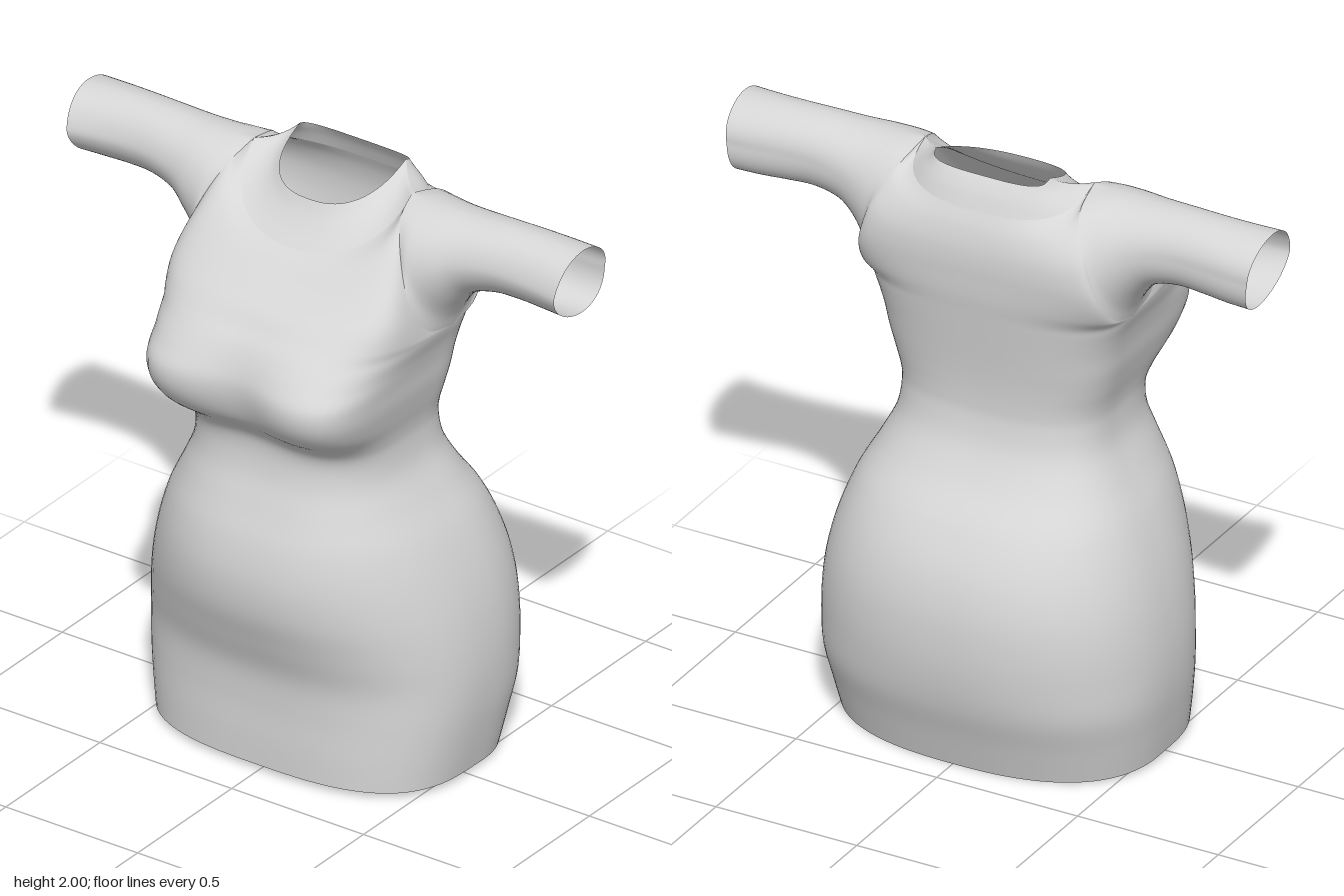
import * as THREE from 'three';
import { mergeVertices, mergeGeometries } from 'three/addons/utils/BufferGeometryUtils.js';

const COLS = 48, SUB = 5;

// Catmull-Rom through rows of numbers, SUB steps per span
function spline(rows) {
  const out = [], last = rows.length - 1;
  for (let i = 0; i < last; i++) {
    const [a, b, c, d] = [rows[Math.max(i - 1, 0)], rows[i], rows[i + 1], rows[Math.min(i + 2, last)]];
    for (let k = 0; k < SUB; k++) {
      const t = k / SUB;
      out.push(b.map((_, j) => b[j] + 0.5 * t * (c[j] - a[j]
        + t * (2 * a[j] - 5 * b[j] + 4 * c[j] - d[j] + t * (3 * (b[j] - c[j]) + d[j] - a[j])))));
    }
  }
  out.push(rows[last]);
  return out;
}

// Surface through a grid of points
function grid(rows, flip) {
  const n = rows[0].length, index = [];
  for (let r = 0; r < rows.length - 1; r++) {
    for (let c = 0; c < n - 1; c++) {
      const a = r * n + c, b = a + 1, d = a + n, e = d + 1;
      if (flip) index.push(a, d, b, b, d, e);
      else index.push(a, b, d, b, e, d);
    }
  }
  const g = new THREE.BufferGeometry();
  g.setAttribute('position', new THREE.Float32BufferAttribute(rows.flat(2), 3));
  g.setIndex(index);
  return g;
}

function smooth(geometries) {
  const g = mergeVertices(mergeGeometries(geometries), 1e-4);
  g.computeVertexNormals();
  return g;
}

// Half cross-section; row = [edge x, edge y, edge z, middle y, middle z, squareness, centre dip]
function halfRing([x, ey, ez, my, mz, n, dip], back) {
  const pts = [];
  for (let i = 0; i <= COLS; i++) {
    const u = Math.PI * (back ? 1 + i / COLS : i / COLS);
    const c = Math.cos(u), s = Math.abs(Math.sin(u));
    const r = Math.pow(Math.abs(c) ** n + s ** n, 1 / n);
    const px = x * c / r, w = s / r;
    pts.push([px, ey + (my - ey) * w, ez + (mz - ez) * w - dip * Math.exp(-((px / 0.14) ** 2))]);
  }
  return pts;
}

function shell(front, back) {
  return smooth([
    grid(front.map(r => halfRing(r, false)), true),
    grid(back.map(r => halfRing(r, true)), true),
  ]);
}

export function createModel() {
  const group = new THREE.Group();
  const cloth = new THREE.MeshStandardMaterial({ color: 0xd6d6d6, side: THREE.DoubleSide });
  cloth.name = 'light grey cloth';
  const add = (name, geometry) => {
    const mesh = new THREE.Mesh(geometry, cloth);
    mesh.name = name;
    group.add(mesh);
  };

  // Skirt, waist and bust: y, half width, side z, front z, squareness, dip, back z, squareness
  const lower = [
    [0.02, 0.545, -0.03, 0.36, 2.9, 0, -0.40, 2.5],
    [0.12, 0.563, -0.04, 0.362, 2.8, 0, -0.44, 2.5],
    [0.24, 0.58, -0.05, 0.362, 2.7, 0, -0.483, 2.5],
    [0.36, 0.585, -0.05, 0.373, 2.55, 0, -0.508, 2.4],
    [0.48, 0.577, -0.05, 0.415, 2.4, 0, -0.516, 2.4],
    [0.60, 0.557, -0.05, 0.455, 2.3, 0, -0.508, 2.4],
    [0.72, 0.523, -0.05, 0.465, 2.35, 0, -0.475, 2.4],
    [0.84, 0.475, -0.04, 0.445, 2.5, 0, -0.41, 2.5],
    [0.95, 0.415, -0.03, 0.405, 2.75, 0, -0.325, 2.6],
    [1.05, 0.368, -0.02, 0.37, 3.0, 0, -0.267, 2.7],
    [1.14, 0.355, -0.01, 0.36, 3.3, 0, -0.243, 2.8],
    [1.20, 0.36, -0.01, 0.388, 4.0, 0.01, -0.24, 2.8],
    [1.27, 0.378, -0.02, 0.472, 5.0, 0.03, -0.244, 2.8],
    [1.34, 0.395, -0.03, 0.517, 5.4, 0.045, -0.252, 2.8],
    [1.41, 0.406, -0.04, 0.525, 5.2, 0.045, -0.262, 2.8],
    [1.47, 0.42, -0.05, 0.495, 4.2, 0.03, -0.271, 2.8],
  ];
  // Chest panel, its sides following the front of the armhole
  const chest = [
    [0.44, 1.53, -0.05, 1.53, 0.45, 3.5, 0.015],
    [0.44, 1.56, 0.06, 1.575, 0.405, 3.3, 0.008],
    [0.43, 1.64, 0.13, 1.62, 0.36, 3.1, 0],
    [0.405, 1.73, 0.145, 1.66, 0.315, 2.9, 0],
    [0.36, 1.84, 0.11, 1.70, 0.27, 2.7, 0],
    [0.32, 1.92, 0.05, 1.74, 0.225, 2.4, 0],
    [0.30, 1.96, -0.04, 1.77, 0.185, 2.2, 0],
  ];
  // Upper back panel, its sides following the back of the armhole
  const upperBack = [
    [0.44, 1.53, -0.05, 1.53, -0.28, 2.8, 0],
    [0.44, 1.56, -0.15, 1.59, -0.289, 2.8, 0],
    [0.43, 1.64, -0.22, 1.65, -0.294, 2.8, 0],
    [0.405, 1.73, -0.25, 1.71, -0.297, 2.8, 0],
    [0.37, 1.83, -0.24, 1.77, -0.293, 2.8, 0],
    [0.32, 1.92, -0.17, 1.83, -0.278, 2.8, 0],
    [0.30, 1.96, -0.04, 1.88, -0.255, 2.8, 0],
  ];
  const front = spline([
    ...lower.map(([y, x, ez, zf, nf, dip]) => [x, y, ez, y, zf, nf, dip]), ...chest]);
  // The hem drops to the floor at the back
  const back = spline([
    ...lower.map(([y, x, ez, , , , zb, nb], i) => [x, y, ez, i ? y : 0, zb, nb, 0]), ...upperBack]);

  // Close the side seams below the armholes
  const hole = lower.length * SUB;
  for (let i = 0; i <= hole; i++) {
    for (let j = 0; j < 3; j++) front[i][j] = back[i][j] = (front[i][j] + back[i][j]) / 2;
  }
  add('dressBody', shell(front, back));

  // Yoke from the shoulder seam up to the neckline
  const yokeFront = spline([
    chest[6],
    [0.262, 1.962, -0.075, 1.815, 0.145, 2.3, 0],
    [0.225, 1.977, -0.115, 1.862, 0.11, 2.4, 0],
    [0.2, 1.998, -0.145, 1.90, 0.09, 2.5, 0],
  ]);
  const yokeBack = spline([
    upperBack[6],
    [0.262, 1.962, -0.075, 1.925, -0.235, 3, 0],
    [0.225, 1.977, -0.115, 1.955, -0.217, 3.2, 0],
    [0.2, 1.998, -0.145, 1.977, -0.2, 3.4, 0],
  ]);
  add('neckYoke', shell(yokeFront, yokeBack));

  // Sleeves grow out of the armhole edge
  const armhole = [...front.slice(hole), ...back.slice(hole, -1).reverse()].map(r => r.slice(0, 3));
  // Rings: top x, top y, bottom x, bottom y, back z, front z
  const rings = [
    [0.36, 1.957, 0.46, 1.585, -0.235, 0.13],
    [0.44, 1.957, 0.50, 1.645, -0.205, 0.11],
    [0.53, 1.957, 0.555, 1.695, -0.185, 0.085],
    [0.64, 1.96, 0.645, 1.718, -0.175, 0.068],
    [0.74, 1.96, 0.735, 1.718, -0.177, 0.064],
    [0.84, 1.958, 0.825, 1.714, -0.183, 0.07],
    [0.938, 1.955, 0.91, 1.714, -0.188, 0.083],
  ];
  for (const side of [1, -1]) {
    const columns = armhole.map(p => {
      const a = Math.atan2((p[2] + 0.05) / 0.2, (p[1] - 1.745) / 0.215);
      const c = Math.cos(a), s = Math.sin(a);
      // The underside leans back towards the cuff
      const path = [p, ...rings.map(([tx, ty, bx, by, z0, z1], i) => [
        (tx + bx) / 2 + c * (tx - bx) / 2,
        (ty + by) / 2 + c * (ty - by) / 2,
        (z0 + z1) / 2 + s * (z1 - z0) / 2 + 0.003 * i * (c - 1) * Math.abs(c),
      ])];
      return spline(path).map(([x, y, z]) => [x * side, y, z]);
    });
    const rows = columns[0].map((_, r) => columns.map(col => col[r]));
    add(side > 0 ? 'leftSleeve' : 'rightSleeve', smooth([grid(rows, side > 0)]));
  }
  return group;
}
